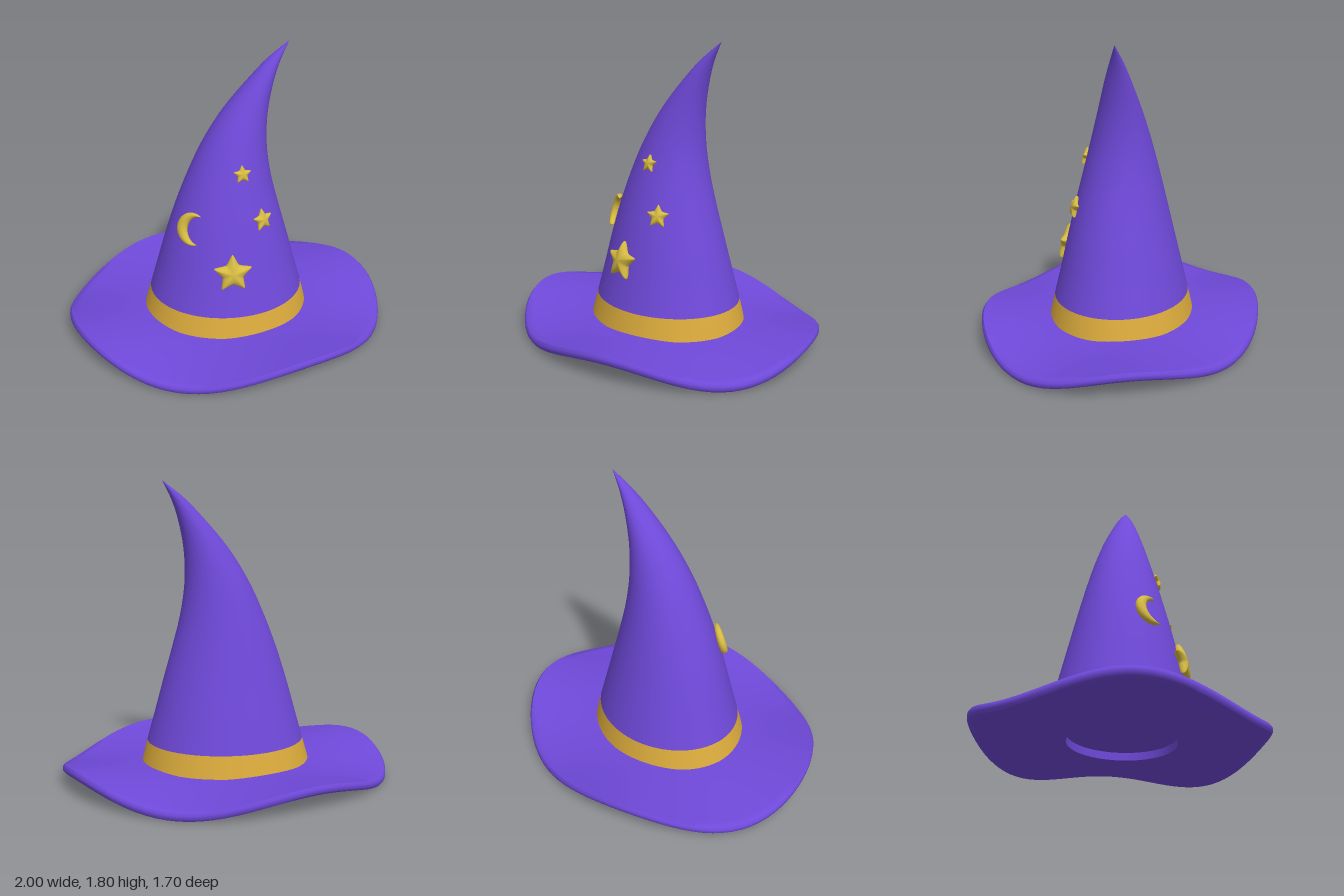
import * as THREE from 'three';
import { toCreasedNormals } from 'three/addons/utils/BufferGeometryUtils.js';

const TAU = Math.PI * 2;
const material = (name, color) => {
  const m = new THREE.MeshStandardMaterial({ color });
  m.name = name;
  return m;
};

// Skin a list of closed rings, each holding the same number of [x, y, z] points
function loft(rings) {
  const n = rings[0].length, index = [];
  for (let r = 0; r < rings.length - 1; r++) {
    for (let i = 0; i < n; i++) {
      const a = r * n + i, b = r * n + (i + 1) % n;
      index.push(a, b, b + n, a, b + n, a + n);
    }
  }
  const geo = new THREE.BufferGeometry();
  geo.setAttribute('position', new THREE.Float32BufferAttribute(rings.flat(2), 3));
  geo.setIndex(index);
  geo.computeVertexNormals();
  return geo;
}
const ring = (n, f) => Array.from({ length: n }, (_, i) => f(i / n * TAU));
const steps = (n, f) => Array.from({ length: n + 1 }, (_, i) => f(i / n));

// Crown outline by height: left x, right x, front z, back z
const heights = [0.1, 0.23, 0.4, 0.6, 0.8, 1.0, 1.2, 1.4, 1.6, 1.7, 1.8];
const outline = new THREE.CubicInterpolant(heights, [
  -0.515, 0.515, 0.443, -0.44,
  -0.478, 0.483, 0.412, -0.41,
  -0.43, 0.436, 0.372, -0.37,
  -0.374, 0.382, 0.328, -0.322,
  -0.31, 0.326, 0.281, -0.276,
  -0.233, 0.276, 0.228, -0.232,
  -0.14, 0.249, 0.17, -0.19,
  -0.015, 0.255, 0.105, -0.149,
  0.155, 0.296, 0.03, -0.11,
  0.254, 0.332, -0.016, -0.091,
  0.382, 0.382, -0.07, -0.07,
], 4);
function section(y) {
  const [l, r, f, b] = outline.evaluate(y);
  return { cx: (l + r) / 2, rx: (r - l) / 2, cz: (f + b) / 2, rz: (f - b) / 2 };
}
// Angle 0 is the front, a quarter turn is the model's left
function crownPoint(angle, y, scale = 1) {
  const s = section(y);
  return [s.cx + s.rx * scale * Math.sin(angle), y, s.cz + s.rz * scale * Math.cos(angle)];
}
const crownRings = (y0, y1, n) =>
  loft(steps(n, t => ring(80, a => crownPoint(a, y0 + (y1 - y0) * t))));

// Wavy elliptical brim with a hole beneath the crown
function brimGeometry() {
  const inner = 0.37, point = (a, r, side) => {
    const t = (r - inner) / (1 - inner);
    const wave = 0.0525 * Math.pow(t, 1.5) * Math.sin(4 * a);
    return [r * Math.sin(a), 0.0775 + wave + 0.025 * side, 0.85 * r * Math.cos(a)];
  };
  const profile = [
    ...steps(14, t => [inner + (0.988 - inner) * t, -1]),
    [1, -0.4], [1, 0.4],
    ...steps(14, t => [0.988 - (0.988 - inner) * t, 1]),
    [inner, -1],
  ];
  return toCreasedNormals(loft(profile.map(([r, s]) => ring(96, a => point(a, r, s)))), 0.9);
}

// Puffy five-pointed star facing +z
function starGeometry(R) {
  const corners = Array.from({ length: 10 }, (_, i) => {
    const a = Math.PI / 2 + i / 10 * TAU, r = i % 2 ? R * 0.56 : R;
    return new THREE.Vector3(r * Math.cos(a), r * Math.sin(a), 0);
  });
  const edge = new THREE.CatmullRomCurve3(corners, true, 'catmullrom', 0.25).getPoints(60).slice(0, 60);
  return loft(steps(14, t => {
    const s = Math.sin(Math.PI * t), z = -0.3 * R * Math.cos(Math.PI * t);
    return edge.map(p => [p.x * s, p.y * s, z]);
  }));
}

// Puffy crescent facing +z, its horns pointing to +x
function moonGeometry() {
  const R = 0.1, r = 0.087, d = 0.055;
  const a0 = Math.PI / 3, b0 = Math.acos(-0.005 / r);
  return loft(steps(36, t => {
    const a = a0 + (TAU - 2 * a0) * t, b = b0 + (TAU - 2 * b0) * t;
    const ox = R * Math.cos(a), oy = R * Math.sin(a);
    const ix = d + r * Math.cos(b), iy = r * Math.sin(b);
    const h = 0.026 * Math.sqrt(Math.max(0, Math.sin(Math.PI * t)));
    return ring(14, p => {
      const k = Math.cos(p) / 2;
      return [(ox + ix) / 2 + (ox - ix) * k, (oy + iy) / 2 + (oy - iy) * k, -h * Math.sin(p)];
    });
  }));
}

export function createModel() {
  const purple = material('purple felt', 0x6f49d9);
  const bandGold = material('band gold', 0xdaaa3c);
  const charmGold = material('charm gold', 0xd6ba42);

  const hat = new THREE.Group();
  hat.name = 'pointedHat';
  const add = (name, geo, mat) => {
    const mesh = new THREE.Mesh(geo, mat);
    mesh.name = name;
    hat.add(mesh);
    return mesh;
  };

  add('brim', brimGeometry(), purple);
  add('band', crownRings(0.1, 0.23, 4), bandGold);
  add('crown', crownRings(0.23, 1.8, 64), purple);
  add('crownBase', loft([0, 1].map(s => ring(80, a => crownPoint(a, 0.1, s)))), purple);

  // Seat a charm on the front of the crown, facing along the surface normal
  const place = (name, geo, x, y, lift) => {
    const s = section(y), angle = Math.asin((x - s.cx) / s.rx), e = 0.01;
    const at = (a, h) => new THREE.Vector3(...crownPoint(a, h));
    const across = at(angle + e, y).sub(at(angle - e, y));
    const up = at(angle, y + e).sub(at(angle, y - e));
    const normal = across.cross(up).normalize();
    const mesh = add(name, geo, charmGold);
    mesh.position.copy(at(angle, y)).addScaledVector(normal, lift);
    mesh.lookAt(mesh.position.clone().add(normal));
    return mesh;
  };
  place('largeStar', starGeometry(0.12), 0, 0.51, 0.012);
  place('middleStar', starGeometry(0.07), 0.188, 0.8, 0.01);
  place('smallStar', starGeometry(0.056), 0.073, 1.09, 0.008);
  place('crescentMoon', moonGeometry(), -0.22, 0.755, 0.015);

  return hat;
}
